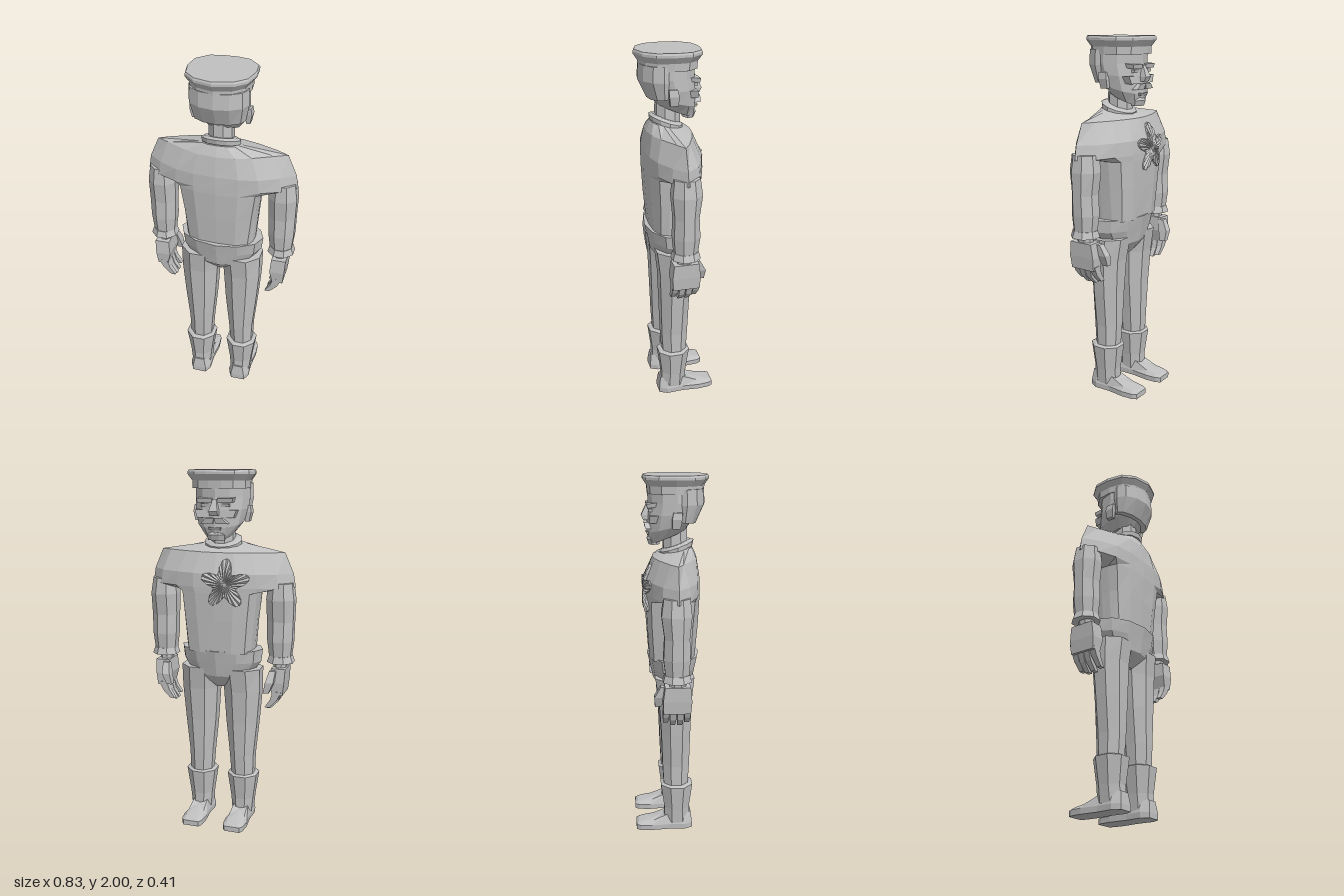
import * as THREE from 'three';

// Skin a stack of equal-length rings of [x, y, z] points and close both ends.
function loft(rings) {
  const pos = [];
  const tri = (a, b, c) => pos.push(...a, ...b, ...c);
  const mid = (r) => [0, 1, 2].map((k) => r.reduce((s, p) => s + p[k], 0) / r.length);
  const n = rings[0].length;
  const last = rings[rings.length - 1];
  const lo = mid(rings[0]), hi = mid(last);
  for (let j = 0; j < n; j++) {
    const k = (j + 1) % n;
    tri(lo, rings[0][j], rings[0][k]);
    for (let i = 0; i + 1 < rings.length; i++) {
      const r = rings[i], s = rings[i + 1];
      tri(r[j], s[j], r[k]);
      tri(r[k], s[j], s[k]);
    }
    tri(hi, last[k], last[j]);
  }
  const g = new THREE.BufferGeometry();
  g.setAttribute('position', new THREE.Float32BufferAttribute(pos, 3));
  g.computeVertexNormals();
  return g;
}

// Polygon ring filling the box x0..x1, z0..z1 at height y, tilted along z.
function ring(y, x0, x1, z0, z1, n = 8, tilt = 0) {
  const k = n === 12 ? 1 : 1 / Math.cos(Math.PI / n);
  const off = n === 12 ? 0 : Math.PI / n;
  return Array.from({ length: n }, (_, i) => {
    const a = off + (i / n) * Math.PI * 2;
    const x = (x0 + x1) / 2 + ((x1 - x0) / 2) * k * Math.cos(a);
    const z = (z0 + z1) / 2 + ((z1 - z0) / 2) * k * Math.sin(a);
    return [x, y + tilt * z, z];
  });
}

// Symmetric ring from a half outline [x, z], listed from -z to +z.
function halfRing(half, height, cx = 0) {
  const y = (z) => (typeof height === 'function' ? height(z) : height);
  const right = half.map(([x, z]) => [cx + x, y(z), z]);
  const left = half.filter(([x]) => x > 0).reverse().map(([x, z]) => [cx - x, y(z), z]);
  return [...right, ...left];
}

const mirror = (rings) => rings.map((r) => r.map(([x, y, z]) => [-x, y, z]).reverse());

export function createModel() {
  const model = new THREE.Group();
  model.name = 'uniformedFigure';
  const grey = new THREE.MeshStandardMaterial({ color: 0xc0c0c0, flatShading: true });
  grey.name = 'plain grey';

  const add = (name, rings) => {
    const m = new THREE.Mesh(loft(rings), grey);
    m.name = name;
    model.add(m);
  };
  const pair = (name, rings) => {
    add(name + 'Left', rings);
    add(name + 'Right', mirror(rings));
  };

  // Jacket: narrow body that widens into pointed shoulders above the armpits
  add('jacket', [
    halfRing([[0, -.122], [.09, -.122], [.16, -.1], [.183, -.05], [.19, .01], [.187, .06], [.165, .1], [.1, .125], [0, .13]], 1.02),
    halfRing([[0, -.136], [.1, -.133], [.175, -.11], [.2, -.05], [.205, .01], [.2, .06], [.185, .105], [.11, .14], [0, .145]], 1.2),
    halfRing([[0, -.145], [.11, -.14], [.19, -.115], [.215, -.05], [.22, .01], [.217, .06], [.205, .115], [.12, .147], [0, .155]], 1.355),
    halfRing([[0, -.145], [.12, -.14], [.23, -.105], [.335, -.065], [.413, .015], [.335, .08], [.23, .125], [.12, .147], [0, .155]], 1.385),
    halfRing([[0, -.142], [.12, -.135], [.22, -.105], [.325, -.06], [.4, .015], [.325, .075], [.22, .127], [.12, .148], [0, .154]], 1.46),
    halfRing([[0, -.1], [.09, -.09], [.18, -.065], [.29, -.02], [.352, .015], [.29, .045], [.18, .1], [.1, .13], [0, .14]], 1.57),
    halfRing([[0, -.055], [.05, -.05], [.08, -.025], [.1, .01], [.105, .04], [.1, .065], [.085, .09], [.05, .11], [0, .115]], (z) => 1.6 + .2 * z),
  ]);
  add('collar', [
    ring(1.595, -.105, .105, -.055, .12, 12, .3),
    ring(1.615, -.105, .105, -.06, .125, 12, .35),
    ring(1.627, -.085, .085, -.045, .105, 12, .35),
  ]);
  add('neck', [ring(1.58, -.065, .065, -.04, .09), ring(1.76, -.06, .06, -.04, .085)]);

  // Hips
  add('hips', [
    ring(.81, -.04, .04, -.05, .06, 12),
    ring(.88, -.17, .17, -.1, .125, 12),
    ring(.96, -.228, .228, -.117, .14, 12),
    ring(1.03, -.236, .236, -.133, .156, 12),
  ]);

  // Sleeves, cuffs and hands
  pair('sleeve', [
    ring(.99, .28, .397, -.05, .07), ring(1.09, .268, .408, -.062, .078),
    ring(1.2, .264, .41, -.056, .074), ring(1.32, .26, .413, -.072, .085),
    ring(1.41, .27, .4, -.06, .075),
  ]);
  pair('cuff', [ring(.968, .268, .412, -.065, .085), ring(1.005, .28, .4, -.055, .075)]);
  pair('wrist', [ring(.92, .305, .37, -.03, .055), ring(.985, .3, .375, -.03, .055)]);
  pair('palm', [
    ring(.79, .31, .368, -.062, .082, 4), ring(.86, .293, .376, -.065, .088, 4),
    ring(.94, .3, .38, -.055, .08, 4),
  ]);
  for (let i = 0; i < 4; i++) {
    const z = .066 - i * .038;
    const drop = i === 0 || i === 3 ? .015 : 0;
    pair('finger' + (i + 1), [
      ring(.7 + drop, .268, .295, z - .013, z + .013, 4),
      ring(.745 + drop, .298, .338, z - .016, z + .016, 4),
      ring(.81, .315, .362, z - .018, z + .018, 4),
    ]);
  }
  pair('thumb', [
    ring(.81, .268, .3, -.105, -.07, 4), ring(.87, .28, .325, -.108, -.055, 4),
    ring(.93, .295, .33, -.075, -.04, 4),
  ]);

  // Trousers, boots and shoes
  pair('trouserLeg', [
    ring(.22, .065, .188, -.045, .085), ring(.4, .052, .193, -.055, .095),
    ring(.6, .032, .213, -.062, .1), ring(.79, .02, .228, -.075, .106),
    ring(.92, .008, .228, -.095, .12),
  ]);
  pair('bootShaft', [
    ring(.04, .067, .183, -.045, .1), ring(.13, .06, .192, -.046, .096),
    ring(.275, .04, .212, -.065, .114), ring(.282, .055, .198, -.052, .1),
  ]);
  const sole = (s) => [
    [.044 * s, -.208], [.058 * s, -.185], [.064 * s, -.12], [.056 * s, -.02],
    [.062 * s, .07], [.04 * s, .114],
  ];
  const instep = (z) => (z < -.1 ? .042 + (z + .2) * .12 : .065 + Math.min(.03, (z + .12) * .25));
  pair('shoe', [
    halfRing(sole(1), 0, .124),
    halfRing(sole(1.03), .03, .124),
    halfRing(sole(.72).map(([x, z]) => [x, z * .93]), instep, .124),
  ]);

  // Head and cap
  add('head', [
    ring(1.682, -.08, .08, -.115, .085, 12, .41),
    ring(1.735, -.128, .128, -.128, .12, 12, .28),
    ring(1.8, -.148, .148, -.128, .155, 12, .05),
    ring(1.86, -.151, .151, -.122, .178, 12),
    ring(1.95, -.148, .148, -.125, .172, 12),
  ]);
  add('hair', [
    ring(1.765, -.137, .137, 0, .136, 12, -.1),
    ring(1.85, -.156, .156, -.03, .182, 12),
    ring(1.93, -.154, .154, -.03, .178, 12),
  ]);
  const crown = [[.04, -.15], [.11, -.135], [.17, -.07], [.179, .02], [.16, .115], [.1, .175], [0, .203]];
  const capRing = (y, s) => halfRing(crown.map(([x, z]) => [x * s, .025 + (z - .025) * s]), y);
  add('cap', [capRing(1.905, .86), capRing(1.945, .87), capRing(1.978, 1), capRing(1.99, 1), capRing(2, .97)]);
  pair('ear', [
    ring(1.73, .13, .152, .0, .042, 4), ring(1.78, .135, .163, -.002, .05, 4),
    ring(1.815, .14, .158, .005, .05, 4),
  ]);

  // Face
  add('nose', [
    ring(1.765, -.022, .022, -.146, -.1, 4), ring(1.79, -.024, .024, -.158, -.1, 4),
    ring(1.85, -.01, .01, -.13, -.1, 4),
  ]);
  pair('brow', [ring(1.845, .015, .095, -.128, -.07, 4, .1), ring(1.868, .015, .1, -.132, -.07, 4, .1)]);
  pair('eye', [ring(1.812, .03, .078, -.12, -.08, 4), ring(1.828, .03, .078, -.123, -.08, 4)]);
  pair('cheek', [ring(1.755, .035, .1, -.12, -.05, 4), ring(1.795, .045, .115, -.115, -.05, 4)]);
  pair('moustache', [ring(1.725, .008, .075, -.138, -.07, 4), ring(1.755, 0, .045, -.144, -.08, 4)]);
  add('lowerLip', [ring(1.69, -.03, .03, -.127, -.08, 4), ring(1.705, -.035, .035, -.135, -.08, 4)]);
  add('chin', [
    ring(1.636, -.045, .045, -.118, -.06, 8), ring(1.665, -.05, .05, -.128, -.06, 8),
    ring(1.69, -.035, .035, -.115, -.06, 8),
  ]);

  // Pleated five-pointed rosette lying on the chest
  const chest = (x, y) => -.143 + Math.max(0, Math.abs(x) - .11) * .36 + Math.max(0, y - 1.46) * .42;
  const rosette = (scale, lift, pleat) => Array.from({ length: 60 }, (_, i) => {
    const a = (i / 60) * Math.PI * 2 + Math.PI / 2;
    const r = scale * (.1 + .036 * Math.cos(5 * (a - Math.PI / 2)));
    const x = -.06 + r * Math.cos(a), y = 1.405 + r * Math.sin(a);
    return [x, y, chest(x, y) - lift - (i % 2) * pleat];
  });
  add('chestRosette', [rosette(1, -.01, 0), rosette(1, .003, .009), rosette(.55, .005, .01), rosette(.08, .01, 0)]);

  return model;
}
